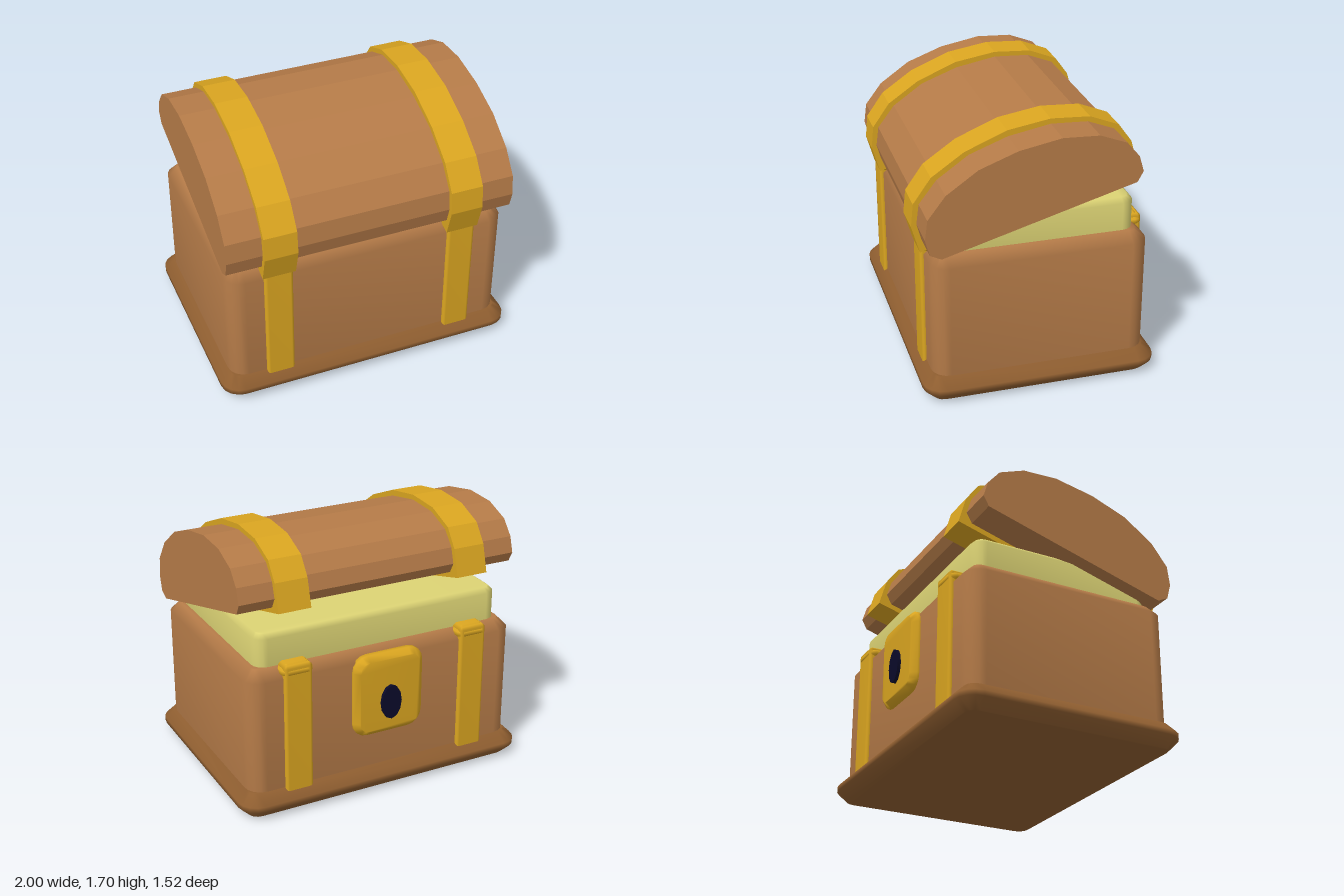
import * as THREE from 'three';
import { mergeVertices } from 'three/addons/utils/BufferGeometryUtils.js';

const material = (name, color) => {
  const m = new THREE.MeshStandardMaterial({ color });
  m.name = name;
  return m;
};

// Rounded rectangle outline centred on the origin
function roundedRect(w, h, r) {
  const s = new THREE.Shape();
  const x = w / 2, y = h / 2;
  s.moveTo(-x + r, -y);
  s.lineTo(x - r, -y);
  s.absarc(x - r, -y + r, r, -Math.PI / 2, 0);
  s.lineTo(x, y - r);
  s.absarc(x - r, y - r, r, 0, Math.PI / 2);
  s.lineTo(-x + r, y);
  s.absarc(-x + r, y - r, r, Math.PI / 2, Math.PI);
  s.lineTo(-x, -y + r);
  s.absarc(-x + r, -y + r, r, Math.PI, Math.PI * 1.5);
  return s;
}

// Bevelled slab along local z from 0 to depth, with soft normals
function bevelledSlab(w, h, depth, r, bevel) {
  const geo = new THREE.ExtrudeGeometry(roundedRect(w, h, r), {
    depth: depth - 2 * bevel, curveSegments: 2, bevelEnabled: true,
    bevelSegments: 1, bevelSize: bevel, bevelThickness: bevel, bevelOffset: -bevel,
  });
  geo.translate(0, 0, bevel);
  geo.deleteAttribute('normal');
  geo.deleteAttribute('uv');
  const soft = mergeVertices(geo, 1e-4);
  soft.computeVertexNormals();
  return soft;
}

// Upright bevelled box standing between y0 and y1
const bevelledBox = (w, d, y0, y1, r, bevel) =>
  bevelledSlab(w, d, y1 - y0, r, bevel).rotateX(-Math.PI / 2).translate(0, y0, 0);

// Flat-faceted side profile given as [z, y], extruded across x
function crossProfile(points, width) {
  const shape = new THREE.Shape(points.map(([z, y]) => new THREE.Vector2(-z, y)));
  return new THREE.ExtrudeGeometry(shape, { depth: width, bevelEnabled: false })
    .translate(0, 0, -width / 2).rotateY(Math.PI / 2);
}

export function createModel() {
  const chest = new THREE.Group();
  chest.name = 'chest';
  const wood = material('wood', 0xb57b48);
  const darkWood = material('darkWood', 0x8f5e30);
  const gold = material('gold', 0xdaa520);
  const cream = material('cream', 0xdcd374);
  const navy = material('navy', 0x0a0a2a);

  const add = (name, geo, mat, x = 0) => {
    const mesh = new THREE.Mesh(geo, mat);
    mesh.name = name;
    mesh.position.x = x;
    chest.add(mesh);
    return mesh;
  };

  // Box, plinth and the pale inner lining
  add('base', bevelledBox(2, 1.5, 0, 0.165, 0.13, 0.065), darkWood);
  add('body', bevelledBox(1.87, 1.37, 0.07, 0.97, 0.11, 0.065), wood);
  add('lining', bevelledBox(1.7, 1.22, 0.85, 1.18, 0.08, 0.03), cream);

  // Lid tilted open at the back
  const lid = [
    [0.63, 0.986], [0.70, 1.02], [0.727, 1.12], [0.71, 1.248], [0.60, 1.392],
    [0.403, 1.53], [0.164, 1.62], [-0.10, 1.67], [-0.33, 1.66], [-0.50, 1.595],
    [-0.58, 1.50], [-0.61, 1.40], [-0.574, 1.333],
  ];
  add('lid', crossProfile(lid, 1.9), wood);

  // Gold bands on the lid and the box
  const band = [
    [0.71, 0.928], [0.76, 1.104], [0.745, 1.252], [0.633, 1.41], [0.43, 1.55],
    [0.169, 1.658], [-0.10, 1.703], [-0.345, 1.69], [-0.53, 1.617],
    [-0.615, 1.50], [-0.664, 1.324],
  ];
  for (const [side, x] of [['left', 0.615], ['right', -0.615]]) {
    add(side + 'LidBand', crossProfile(band, 0.214), gold, x);
    add(side + 'BodyBand', bevelledBox(0.186, 1.416, 0.1, 0.99, 0.02, 0.015), gold, x);
    add(side + 'BandCap', bevelledBox(0.21, 1.42, 0.9, 0.995, 0.045, 0.035), gold, x);
  }

  // Lock plate and keyhole on the back
  add('lockPlate', bevelledSlab(0.49, 0.55, 0.1, 0.1, 0.035)
    .translate(0, 0.67, -0.735), gold);
  const keyhole = new THREE.CylinderGeometry(1, 1, 0.03, 12)
    .rotateX(Math.PI / 2).scale(0.07, 0.115, 1).translate(0, 0.62, -0.742);
  add('keyhole', keyhole, navy);

  return chest;
}
